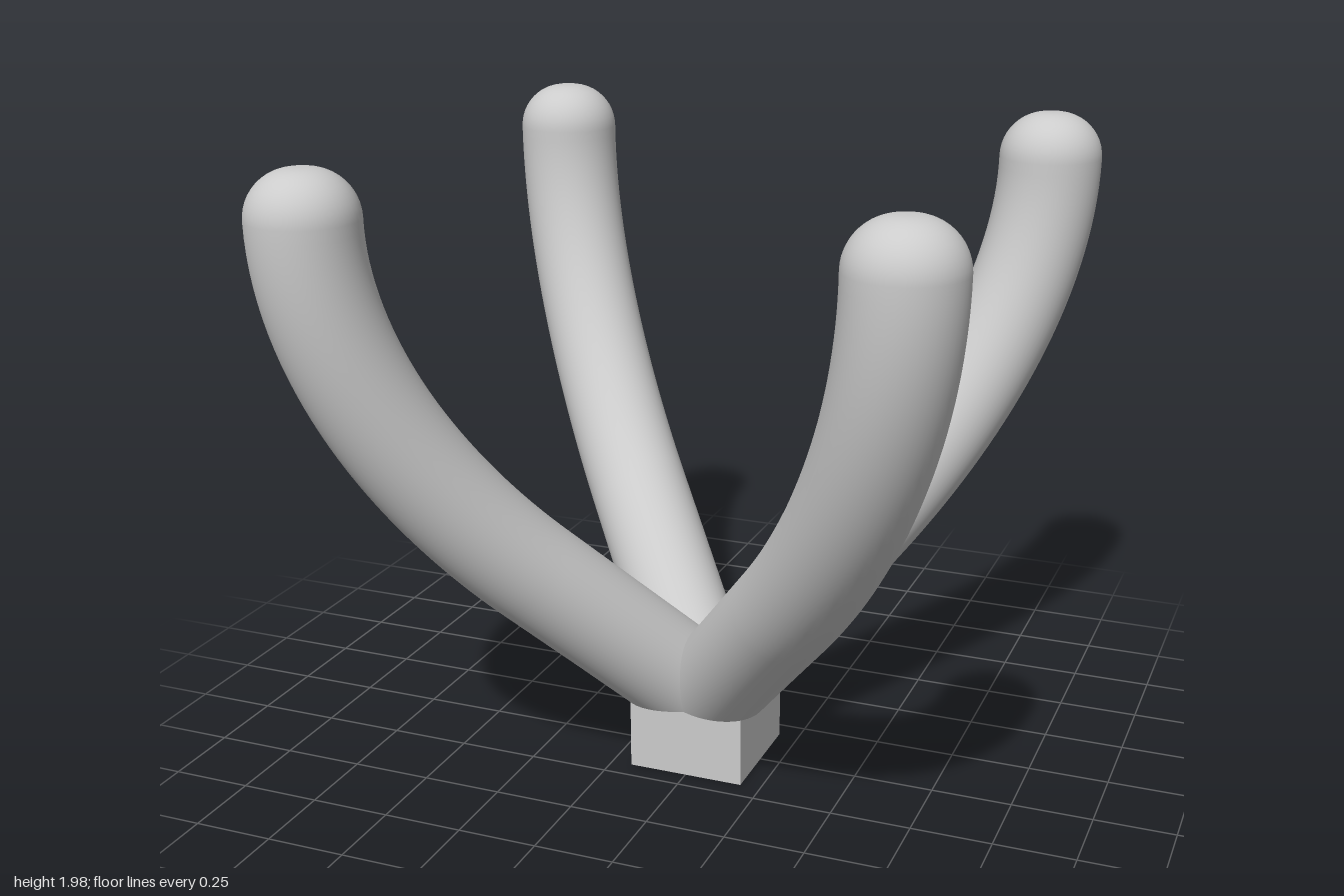
import * as THREE from 'three';

const RADIUS = 0.16, FILLET = 0.14, BASE_Y = 0.225, SIDES = 48;
const material = new THREE.MeshStandardMaterial({ color: 0xcccccc });

// Arm centre line in the x/y plane: straight at the root, bending to vertical
const slope = new THREE.Vector2(0.747, 0.665);
const root = new THREE.Vector2(0.025, BASE_Y);
const bend = new THREE.Vector2(0.55, 0.7);
const tip = new THREE.Vector2(1.186, 1.84);
const curve = new THREE.CubicBezierCurve(
  bend, bend.clone().addScaledVector(slope, 0.46), new THREE.Vector2(tip.x, tip.y - 0.41), tip);

function armGeometry() {
  const positions = [], index = [];
  let rings = 0;

  // One circle across the path; cut = true slides it onto the flat base plane
  function ring(center, tangent, radius, cut = false) {
    for (let j = 0; j < SIDES; j++) {
      const a = (j / SIDES) * Math.PI * 2;
      let x = center.x + Math.cos(a) * radius * tangent.y;
      let y = center.y - Math.cos(a) * radius * tangent.x;
      if (cut) {
        x += (BASE_Y - y) * tangent.x / tangent.y;
        y = BASE_Y;
      }
      positions.push(x, y, -Math.sin(a) * radius);
    }
    rings++;
  }

  // Straight root and curved length
  ring(root, slope, RADIUS, true);
  ring(root.clone().lerp(bend, 0.6), slope, RADIUS);
  for (let i = 0; i <= 32; i++) ring(curve.getPoint(i / 32), curve.getTangent(i / 32), RADIUS);

  // Rounded tip with a tiny flat in the middle
  const up = new THREE.Vector2(0, 1);
  for (let i = 1; i <= 12; i++) {
    const a = (i / 12) * Math.PI / 2;
    ring(new THREE.Vector2(tip.x, tip.y + FILLET * Math.sin(a)), up,
      RADIUS - FILLET + FILLET * Math.cos(a));
  }
  positions.push(tip.x, tip.y + FILLET, 0);

  for (let i = 0; i < rings; i++) {
    for (let j = 0; j < SIDES; j++) {
      const a = i * SIDES + j, b = i * SIDES + (j + 1) % SIDES;
      if (i < rings - 1) index.push(a, b, a + SIDES, b, b + SIDES, a + SIDES);
      else index.push(a, b, rings * SIDES);
    }
  }
  const geometry = new THREE.BufferGeometry();
  geometry.setAttribute('position', new THREE.Float32BufferAttribute(positions, 3));
  geometry.setIndex(index);
  geometry.computeVertexNormals();
  return geometry;
}

export function createModel() {
  const model = new THREE.Group();
  model.name = 'fourArmedHolder';

  // Square foot
  const foot = new THREE.Mesh(new THREE.BoxGeometry(0.37, BASE_Y, 0.37), material);
  foot.name = 'foot';
  foot.position.y = BASE_Y / 2;
  model.add(foot);

  // Four arms along the diagonals, each closed by a flat oval underneath
  const tube = armGeometry();
  const oval = new THREE.CircleGeometry(RADIUS, SIDES)
    .scale(1 / slope.y, 1, 1).rotateX(Math.PI / 2).translate(root.x, BASE_Y, 0);
  ['backLeft', 'backRight', 'frontRight', 'frontLeft'].forEach((side, i) => {
    const arm = new THREE.Group();
    arm.name = side + 'Arm';
    const body = new THREE.Mesh(tube, material);
    body.name = side + 'ArmTube';
    const underside = new THREE.Mesh(oval, material);
    underside.name = side + 'ArmUnderside';
    arm.add(body, underside);
    arm.rotation.y = Math.PI / 4 + i * Math.PI / 2;
    model.add(arm);
  });
  return model;
}
